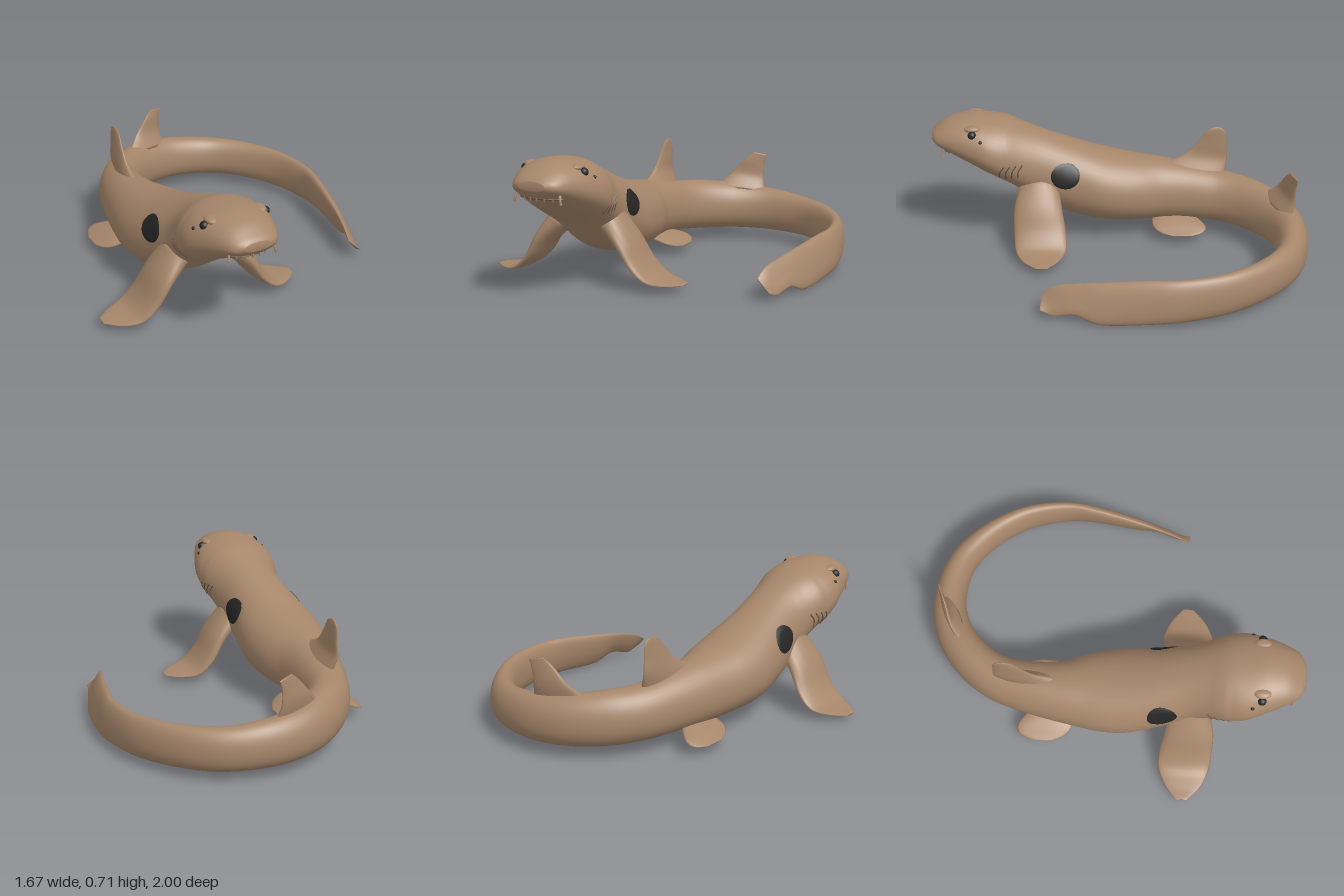
import * as THREE from 'three';

const V = (x, y, z) => new THREE.Vector3(x, y, z);
const skin = new THREE.MeshStandardMaterial({ color: 0xa6866a });
skin.name = 'brown skin';
const black = new THREE.MeshStandardMaterial({ color: 0x262626 });
black.name = 'black markings';
const shade = new THREE.MeshStandardMaterial({ color: 0x6e5644 });
shade.name = 'dark brown creases';

// Body stations from snout to tail tip: x, z, half width, top, bottom
const STATIONS = [
  [-.29, 1, .07, .625, .58], [-.29, .97, .12, .65, .55], [-.29, .9, .16, .69, .51],
  [-.29, .8, .2, .71, .455], [-.29, .7, .23, .705, .4], [-.29, .6, .225, .69, .34],
  [-.29, .5, .2, .65, .27], [-.295, .4, .19, .61, .2], [-.31, .25, .205, .55, .13],
  [-.32, .08, .225, .49, .09], [-.325, -.08, .21, .45, .08], [-.33, -.25, .165, .42, .075],
  [-.31, -.43, .137, .39, .075], [-.265, -.6, .12, .36, .07], [-.165, -.75, .11, .345, .06],
  [-.005, -.87, .1, .32, .055], [.195, -.915, .087, .295, .05], [.415, -.87, .075, .27, .045],
  [.585, -.74, .063, .26, .04], [.72, -.54, .05, .25, .03], [.78, -.31, .042, .24, .02],
  [.775, -.13, .04, .23, .012], [.74, .1, .033, .2, 0], [.71, .22, .02, .18, .04],
  [.68, .33, .015, .155, .02], [.665, .4, .004, .11, .045],
];
const smooth = (pts) => new THREE.CatmullRomCurve3(pts, false, 'catmullrom', 0.5);
const spine = smooth(STATIONS.map((s) => V(s[0], 0, s[1])));
const sizes = smooth(STATIONS.map((s) => V(s[2], s[3], s[4])));
const POWER = 2.1;

function section(t) {
  const c = spine.getPoint(t), s = sizes.getPoint(t);
  const mid = s.z + (s.y - s.z) * (t < 0.2 ? 0.42 : 0.46);
  return { c, hw: Math.max(s.x, 0.002), top: s.y, bot: s.z, mid };
}

// Section of the straight front half at a given z
function sectionAtZ(z) {
  let a = 0, b = 0.5;
  for (let i = 0; i < 30; i++) {
    const m = (a + b) / 2;
    if (spine.getPoint(m).z > z) a = m; else b = m;
  }
  return section(a);
}
const bulge = (k) => Math.pow(Math.max(0, 1 - Math.pow(Math.min(1, Math.abs(k)), POWER)), 1 / POWER);

// Point on the flank, side = 1 for left and -1 for right
function flank(side, y, z, lift = 0) {
  const s = sectionAtZ(z);
  const k = y > s.mid ? (y - s.mid) / (s.top - s.mid) : (s.mid - y) / (s.mid - s.bot);
  return V(s.c.x + side * (s.hw * bulge(k) + lift), y, z);
}
// Point on the underside
function under(dx, z) {
  const s = sectionAtZ(z);
  return V(s.c.x + dx, s.mid - (s.mid - s.bot) * bulge(dx / s.hw), z);
}

// Closed skin over a row of rings, turned outward by its signed volume
function loft(rings) {
  const n = rings[0].length, pts = rings.flat(), idx = [];
  for (let i = 0; i < rings.length - 1; i++) {
    for (let j = 0; j < n; j++) {
      const a = i * n + j, b = i * n + (j + 1) % n;
      idx.push(a, a + n, b, b, a + n, b + n);
    }
  }
  const centre = (r) => r.reduce((s, p) => s.add(p), V(0, 0, 0)).divideScalar(n);
  const first = pts.length, last = first + 1, e = (rings.length - 1) * n;
  pts.push(centre(rings[0]), centre(rings[rings.length - 1]));
  for (let j = 0; j < n; j++) {
    const k = (j + 1) % n;
    idx.push(first, j, k, last, e + k, e + j);
  }
  let volume = 0;
  for (let i = 0; i < idx.length; i += 3) {
    volume += pts[idx[i]].dot(pts[idx[i + 1]].clone().cross(pts[idx[i + 2]]));
  }
  if (volume < 0) idx.reverse();
  const g = new THREE.BufferGeometry().setFromPoints(pts);
  g.setIndex(idx);
  g.computeVertexNormals();
  return g;
}

function bodyGeometry() {
  const rings = [], N = 150, M = 40;
  for (let i = 0; i <= N; i++) {
    const t = i / N, s = section(t), d = spine.getTangent(t);
    const side = V(-d.z, 0, d.x).normalize();
    const lean = 0.035 * THREE.MathUtils.smoothstep(t, 0.75, 0.9);
    const ring = [];
    for (let j = 0; j < M; j++) {
      const a = j / M * Math.PI * 2, ca = Math.cos(a), sa = Math.sin(a);
      const u = Math.sign(ca) * Math.pow(Math.abs(ca), 2 / POWER);
      const v = Math.sign(sa) * Math.pow(Math.abs(sa), 2 / POWER);
      const p = s.c.clone().addScaledVector(side, s.hw * u + lean * v);
      p.y = s.mid + v * (v > 0 ? s.top - s.mid : s.mid - s.bot);
      ring.push(p);
    }
    rings.push(ring);
  }
  return loft(rings);
}

// Fin from rows of [leading point, trailing point, half thickness]
function finGeometry(rows) {
  const lead = smooth(rows.map((r) => V(...r[0])));
  const trail = smooth(rows.map((r) => V(...r[1])));
  const thick = smooth(rows.map((r) => V(r[2], 0, 0)));
  const mid = (t) => lead.getPoint(t).add(trail.getPoint(t)).multiplyScalar(0.5);
  const rings = [], N = 24, M = 20;
  for (let i = 0; i <= N; i++) {
    const t = i / N, c = mid(t);
    const chord = lead.getPoint(t).sub(trail.getPoint(t)).multiplyScalar(0.5);
    const along = mid(Math.min(1, t + 0.02)).sub(mid(Math.max(0, t - 0.02)));
    const normal = along.cross(chord).normalize().multiplyScalar(thick.getPoint(t).x);
    rings.push(Array.from({ length: M }, (_, j) => {
      const a = j / M * Math.PI * 2;
      return c.clone().addScaledVector(chord, Math.cos(a)).addScaledVector(normal, Math.sin(a));
    }));
  }
  return loft(rings);
}
// Paired fin rows: [distance from axis, height, leading z, trailing z, half thickness]
const paired = (axis, side, rows) => finGeometry(rows.map(([d, y, a, b, t]) =>
  [[axis + side * d, y, a], [axis + side * d, y, b], t]));

// Thin oval patch lying on the flank
function spotGeometry(side, y, z, ry, rz) {
  const pts = [flank(side, y, z, 0.006)], idx = [], R = 6, M = 32;
  for (let i = 1; i <= R; i++) {
    for (let j = 0; j < M; j++) {
      const a = j / M * Math.PI * 2, r = i / R;
      pts.push(flank(side, y + ry * r * Math.sin(a), z + rz * r * Math.cos(a), i === R ? 0.001 : 0.006));
      const k = (j + 1) % M, o = 1 + (i - 1) * M, q = o - M;
      if (i === 1) idx.push(0, o + k, o + j);
      else idx.push(q + j, q + k, o + j, q + k, o + k, o + j);
    }
  }
  if (side < 0) idx.reverse();
  // first ring and outer rings share one turning direction
  const g = new THREE.BufferGeometry().setFromPoints(pts);
  for (let i = 0; i < idx.length; i += 3) {
    const [a, b, c] = [0, 1, 2].map((k) => pts[idx[i + k]]);
    const nx = b.clone().sub(a).cross(c.clone().sub(a)).x;
    if (nx * side < 0) [idx[i], idx[i + 1]] = [idx[i + 1], idx[i]];
  }
  g.setIndex(idx);
  g.computeVertexNormals();
  return g;
}

export function createModel() {
  const model = new THREE.Group();
  model.name = 'carpetShark';
  const add = (name, geometry, material) => {
    const m = new THREE.Mesh(geometry, material);
    m.name = name;
    model.add(m);
    return m;
  };
  const tube = (name, pts, r, mat) => add(name, new THREE.TubeGeometry(smooth(pts), 16, r, 6), mat);

  add('body', bodyGeometry(), skin);
  add('firstDorsalFin', finGeometry([
    [[-.325, .38, -.23], [-.28, .33, -.6], .045], [[-.32, .45, -.38], [-.31, .42, -.615], .022],
    [[-.315, .53, -.455], [-.31, .5, -.61], .014], [[-.31, .59, -.5], [-.31, .575, -.605], .009],
    [[-.31, .612, -.545], [-.31, .605, -.585], .004]]), skin);
  add('secondDorsalFin', finGeometry([
    [[-.12, .3, -.8], [.16, .27, -.91], .035], [[-.04, .38, -.865], [.14, .35, -.93], .02],
    [[.03, .46, -.89], [.14, .43, -.935], .012], [[.08, .505, -.91], [.155, .49, -.94], .005]]), skin);

  for (const side of [1, -1]) {
    const tag = side > 0 ? 'left' : 'right';
    add(tag + 'PectoralFin', paired(-.295, side, [
      [.13, .35, .53, .32, .07], [.23, .24, .56, .3, .05], [.3, .13, .56, .28, .034],
      [.38, .06, .55, .28, .018], [.47, .042, .51, .32, .01], [.545, .04, .44, .38, .004]]), skin);
    add(tag + 'PelvicFin', paired(-.325, side, [
      [.06, .11, -.2, -.42, .03], [.15, .08, -.2, -.49, .018],
      [.2, .06, -.24, -.48, .01], [.23, .05, -.31, -.41, .004]]), skin);
    add(tag + 'ShoulderSpot', spotGeometry(side, .41, .28, .072, .078), black);

    // Eye under a low brow, with a small breathing hole behind it
    const eye = add(tag + 'Eye', new THREE.SphereGeometry(.023, 16, 12), black);
    eye.position.copy(flank(side, .648, .775, -.008));
    const brow = add(tag + 'Brow', new THREE.SphereGeometry(.03, 16, 12), skin);
    brow.position.copy(flank(side, .672, .775, -.012));
    brow.scale.set(1, .6, 1.5);
    const hole = add(tag + 'Spiracle', new THREE.SphereGeometry(.01, 10, 8), black);
    hole.position.copy(flank(side, .62, .73, -.003));

    for (let k = 0; k < 4; k++) {
      const z = .51 + k * .033;
      tube(tag + 'GillSlit', [0, .5, 1].map((u) =>
        flank(side, .49 - .075 * u, z + .025 * u + .01 * Math.sin(u * Math.PI))), .004, shade);
    }
    const root = under(side * .118, .93);
    tube(tag + 'Barbel', [root.clone().add(V(0, .015, 0)), root.clone().add(V(side * .006, -.015, .01)),
      root.clone().add(V(side * .012, -.04, .012))], .007, skin);
  }

  // Mouth crease with small teeth
  const mouth = Array.from({ length: 13 }, (_, i) => {
    const u = i / 6 - 1;
    return under(.115 * u, .945 - .045 * u * u);
  });
  tube('mouth', mouth, .006, shade);
  for (let i = 2; i <= 10; i += 2) {
    const tooth = add('tooth', new THREE.ConeGeometry(.007, .025, 8), skin);
    tooth.position.copy(mouth[i]).add(V(0, -.01, .004));
    tooth.rotation.x = Math.PI;
  }
  return model;
}
